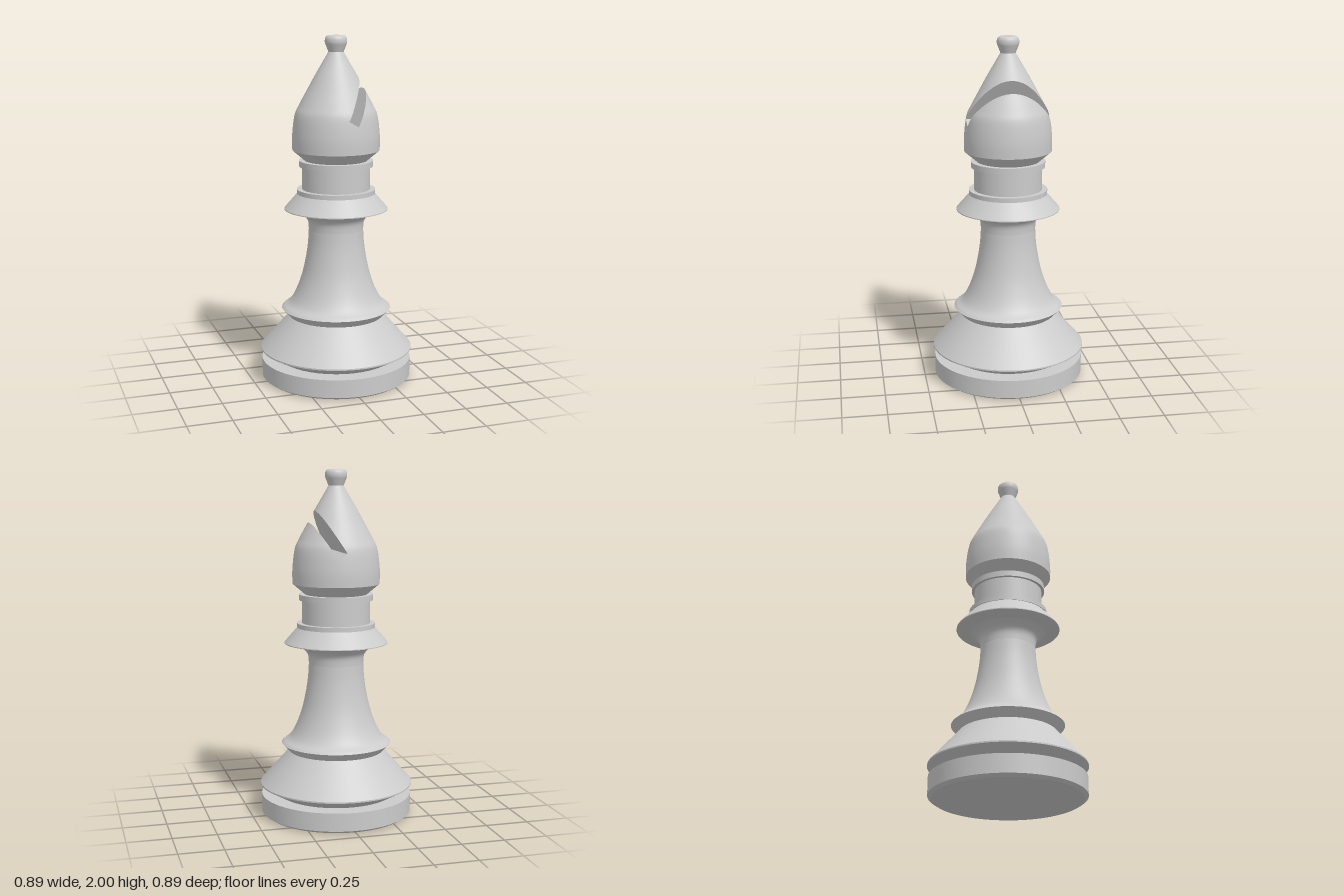
import * as THREE from 'three';
import { mergeGeometries } from 'three/addons/utils/BufferGeometryUtils.js';

const SEG = 64;
const material = new THREE.MeshStandardMaterial({ color: 0xcccccc });
const V = (x, y) => new THREE.Vector2(x, y);

// Smooth run of profile points through a few knots
const curve = (knots, n) => new THREE.SplineCurve(knots.map(p => V(...p))).getPoints(n);

// Sharp-edged turned part: every straight step gets its own normals
const steps = pts => pts.slice(1).map((p, i) => [V(...pts[i]), V(...p)]);
const turn = runs => mergeGeometries(runs.map(r => new THREE.LatheGeometry(r, SEG)));

function add(group, name, geometry) {
  const mesh = new THREE.Mesh(geometry, material);
  mesh.name = name;
  group.add(mesh);
}

// Slot in the head: corner, direction along its depth, direction across, width
const ANGLE = THREE.MathUtils.degToRad(61);
const corner = V(-0.002, 1.538);
const along = V(Math.cos(ANGLE), Math.sin(ANGLE));
const across = V(along.y, -along.x);
const WIDTH = 0.0635;

// Keep the part of a polygon where f >= 0 (vertices carry position and normal)
function clip(poly, f) {
  const out = [];
  poly.forEach((p, i) => {
    const q = poly[(i + 1) % poly.length];
    const a = f(p), b = f(q);
    if (a >= 0) out.push(p);
    if ((a > 0 && b < 0) || (a < 0 && b > 0)) out.push(p.map((v, k) => v + (q[k] - v) * a / (a - b)));
  });
  return out;
}

// Remove everything inside the slot from a surface
function cutSlot(geometry) {
  const g = geometry.toNonIndexed();
  const P = g.attributes.position, N = g.attributes.normal;
  const side = p => (p[0] - corner.x) * across.x + (p[1] - corner.y) * across.y;
  const depth = p => (p[0] - corner.x) * along.x + (p[1] - corner.y) * along.y;
  const outside = [p => -side(p), p => side(p) - WIDTH, p => -depth(p)];
  const pos = [], nor = [];
  for (let i = 0; i < P.count; i += 3) {
    let rest = [0, 1, 2].map(k => [
      P.getX(i + k), P.getY(i + k), P.getZ(i + k),
      N.getX(i + k), N.getY(i + k), N.getZ(i + k)]);
    for (const f of outside) {
      const kept = clip(rest, f);
      for (let j = 1; j + 1 < kept.length; j++) {
        for (const v of [kept[0], kept[j], kept[j + 1]]) {
          pos.push(...v.slice(0, 3));
          nor.push(...v.slice(3));
        }
      }
      rest = clip(rest, p => -f(p));
    }
  }
  const result = new THREE.BufferGeometry();
  result.setAttribute('position', new THREE.Float32BufferAttribute(pos, 3));
  result.setAttribute('normal', new THREE.Float32BufferAttribute(nor, 3));
  return result;
}

// Flat slot face running from a to b, spanning the head's full width in z
function slotFace(a, b, radiusAt, ease) {
  const pos = [], index = [], n = 32;
  for (let i = 0; i <= n; i++) {
    const p = a.clone().lerp(b, ease(i / n));
    const z = Math.sqrt(Math.max(0, radiusAt(p.y) ** 2 - p.x ** 2));
    pos.push(p.x, p.y, z, p.x, p.y, -z);
    if (i < n) index.push(2 * i, 2 * i + 2, 2 * i + 1, 2 * i + 1, 2 * i + 2, 2 * i + 3);
  }
  const g = new THREE.BufferGeometry();
  g.setAttribute('position', new THREE.Float32BufferAttribute(pos, 3));
  g.setIndex(index);
  g.computeVertexNormals();
  return g;
}

export function createModel() {
  const model = new THREE.Group();
  model.name = 'chessBishop';

  // Foot disc and flared base
  add(model, 'foot', turn(steps([[0, 0], [0.415, 0], [0.437, 0.015], [0.437, 0.12], [0.34, 0.12]])));
  add(model, 'base', turn(steps([[0.34, 0.12], [0.443, 0.178], [0.443, 0.186], [0.275, 0.375]])));

  // Stem with its lower lip and flare under the collar
  add(model, 'stem', turn([
    ...steps([[0.275, 0.375], [0.318, 0.42], [0.305, 0.432]]),
    curve([[0.305, 0.432], [0.27, 0.46], [0.235, 0.52], [0.2, 0.615], [0.177, 0.715],
      [0.163, 0.81], [0.158, 0.89]], 24),
    curve([[0.158, 0.89], [0.162, 0.935], [0.18, 0.965], [0.215, 0.99]], 10),
  ]));

  // Collar, neck and neck ring
  add(model, 'collar', turn(steps([[0.215, 0.99], [0.298, 1.008], [0.298, 1.013], [0.222, 1.1]])));
  add(model, 'collarRing', turn(steps([[0.222, 1.1], [0.226, 1.1], [0.226, 1.126], [0.196, 1.126]])));
  add(model, 'neck', turn(steps([[0.196, 1.126], [0.196, 1.258]])));
  add(model, 'neckRing', turn(steps([[0.196, 1.258], [0.213, 1.258], [0.213, 1.292], [0.18, 1.292]])));

  // Head: cone underneath, then the domed body with the slot removed
  add(model, 'headUnderside', turn(steps([[0.18, 1.292], [0.25, 1.352]])));
  const profile = curve([[0.25, 1.352], [0.25, 1.44], [0.236, 1.55], [0.21, 1.61], [0.161, 1.7],
    [0.123, 1.77], [0.082, 1.84], [0.043, 1.907]], 36);
  add(model, 'head', cutSlot(turn([profile])));

  const radiusAt = y => {
    const i = Math.max(1, profile.findIndex(p => p.y >= y));
    const a = profile[i - 1], b = profile[i];
    return a.x + (b.x - a.x) * (y - a.y) / (b.y - a.y);
  };
  // Where a slot wall leaves the head
  const mouth = start => {
    let lo = 0, hi = 0.38;
    for (let i = 0; i < 40; i++) {
      const mid = (lo + hi) / 2;
      const p = start.clone().addScaledVector(along, mid);
      if (p.x < radiusAt(p.y)) lo = mid; else hi = mid;
    }
    return start.clone().addScaledVector(along, lo);
  };
  const corner2 = corner.clone().addScaledVector(across, WIDTH);
  add(model, 'slotFaces', mergeGeometries([
    slotFace(mouth(corner), corner, radiusAt, t => t * t),
    slotFace(corner, corner2, radiusAt, t => t),
    slotFace(corner2, mouth(corner2), radiusAt, t => 1 - (1 - t) ** 2),
  ]));

  // Finial knob
  add(model, 'knob', turn([
    ...steps([[0.043, 1.907], [0.06, 1.95]]),
    curve([[0.06, 1.95], [0.063, 1.962], [0.062, 1.98], [0.055, 1.993], [0.042, 1.999], [0, 2]], 16),
  ]));
  return model;
}
